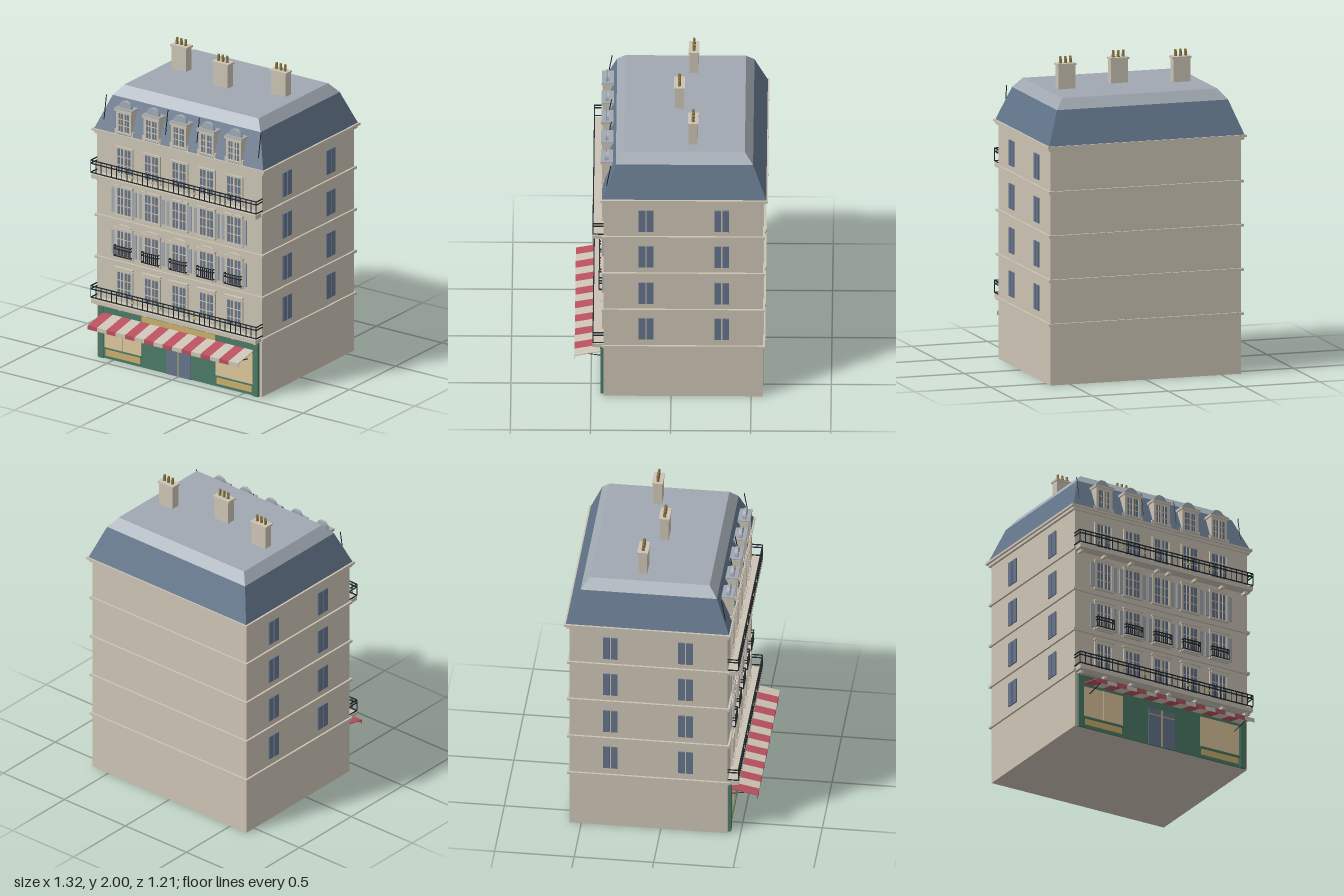
import * as THREE from 'three';

const mat = (name, color) => {
  const m = new THREE.MeshStandardMaterial({ color });
  m.name = name;
  return m;
};

export function createModel() {
  const model = new THREE.Group();
  model.name = 'townhouse';
  const stone = mat('stone', 0xcbc3b4), slate = mat('slate', 0x62758a), zinc = mat('zinc', 0xa0a8b1);
  const glass = mat('glass', 0x64748a), green = mat('shopGreen', 0x4b7a66), red = mat('awningRed', 0xb9505f);
  const gold = mat('gold', 0xc9af6c), glow = mat('shopWindow', 0xdcc79b), iron = mat('iron', 0x22282c);
  const brass = mat('brass', 0x8f7a45);

  const group = (name, parent = model) => {
    const g = new THREE.Group();
    g.name = name;
    parent.add(g);
    return g;
  };
  const add = (parent, name, geometry, material) => {
    const m = new THREE.Mesh(geometry, material);
    m.name = name;
    parent.add(m);
    return m;
  };
  // box given by its limits on each axis
  const box = (parent, name, material, x0, x1, y0, y1, z0, z1) => {
    const m = add(parent, name, new THREE.BoxGeometry(x1 - x0, y1 - y0, z1 - z0), material);
    m.position.set((x0 + x1) / 2, (y0 + y1) / 2, (z0 + z1) / 2);
    return m;
  };
  // four-sided tapered block; a and b are [x half-width, z back, z front] at bottom and top
  const frustum = (name, material, y0, y1, a, b) => {
    const g = new THREE.BoxGeometry(2, 2, 2), p = g.attributes.position;
    for (let i = 0; i < p.count; i++) {
      const top = p.getY(i) > 0, s = top ? b : a;
      p.setXYZ(i, p.getX(i) * s[0], top ? y1 : y0, p.getZ(i) > 0 ? s[2] : s[1]);
    }
    g.computeVertexNormals();
    return add(model, name, g, material);
  };
  // flat plate with a curved top edge, used for pediments
  const arch = (parent, name, material, w, y, rise, z, depth) => {
    const s = new THREE.Shape();
    s.moveTo(w, 0);
    for (let i = 1; i <= 12; i++) s.lineTo(w * Math.cos(i * Math.PI / 12), rise * Math.sin(i * Math.PI / 12));
    const m = add(parent, name, new THREE.ExtrudeGeometry(s, { depth, bevelEnabled: false }), material);
    m.position.set(0, y, z);
    return m;
  };

  // walls, string courses, cornice
  const F = 0.42, B = -0.575, W = 0.63;
  box(model, 'walls', stone, -W, W, 0, 1.5, B, F);
  for (const y of [0.375, 0.655, 0.935, 1.215]) {
    box(model, 'stringCourse', stone, -0.643, 0.643, y, y + 0.016, B - 0.013, F + 0.013);
  }
  box(model, 'lowerCornice', stone, -0.645, 0.645, 1.487, 1.505, B - 0.015, F + 0.01);
  box(model, 'upperCornice', stone, -0.658, 0.658, 1.505, 1.52, B - 0.03, F + 0.02);

  // mansard roof
  frustum('slateRoof', slate, 1.52, 1.733, [0.645, -0.595, 0.43], [0.565, -0.512, 0.345]);
  frustum('zincRoof', zinc, 1.733, 1.797, [0.565, -0.512, 0.345], [0.513, -0.46, 0.293]);

  // chimneys with pots
  for (const [x, z] of [[-0.38, -0.137], [0, -0.048], [0.38, -0.137]]) {
    const c = group('chimney');
    c.position.set(x, 0, z);
    box(c, 'chimneyStack', stone, -0.056, 0.056, 1.79, 1.945, -0.028, 0.028);
    box(c, 'chimneyCap', stone, -0.063, 0.063, 1.945, 1.958, -0.034, 0.034);
    for (const px of [-0.033, 0, 0.033]) {
      add(c, 'chimneyPot', new THREE.CylinderGeometry(0.008, 0.01, 0.043, 10), brass).position.set(px, 1.979, 0);
    }
  }

  // casement: two leaves of glass with glazing bars; z is the glass face
  const casement = (g, w, y0, y1, z, rows) => {
    box(g, 'windowGlass', glass, -w, w, y0, y1, z - 0.006, z);
    box(g, 'windowMeetingRail', stone, -0.006, 0.006, y0, y1, z, z + 0.005);
    for (const s of [-1, 1]) {
      box(g, 'glazingBar', stone, s * w / 2 - 0.002, s * w / 2 + 0.002, y0, y1, z, z + 0.003);
      box(g, 'windowStile', stone, s * w - 0.003, s * w + 0.003, y0, y1, z - 0.004, z + 0.004);
    }
    for (let i = 1; i < rows; i++) {
      const y = y0 + (y1 - y0) * i / rows;
      box(g, 'glazingBar', stone, -w, w, y - 0.0025, y + 0.0025, z, z + 0.003);
    }
  };
  const surround = (g, w, t, y0, y1, z0, z1) => {
    for (const s of [-1, 1]) {
      const x = s * (w + t / 2);
      box(g, 'windowJamb', stone, x - t / 2, x + t / 2, y0, y1, z0, z1);
    }
    box(g, 'windowHead', stone, -w - t, w + t, y1, y1 + t, z0, z1);
    box(g, 'windowSill', stone, -w - t - 0.004, w + t + 0.004, y0 - 0.012, y0, z0, z1 + 0.004);
  };
  // iron railing: front run plus two returns to the wall
  const railing = (w, y0, y1, z, count, parent) => {
    const g = group('railing', parent), r = 0.003;
    for (const y of [y0, y1 - 0.02, y1]) {
      box(g, 'rail', iron, -w, w, y - r, y + r, z - r, z + r);
      for (const s of [-1, 1]) box(g, 'sideRail', iron, s * w - r, s * w + r, y - r, y + r, F, z);
    }
    for (let i = 0; i <= count; i++) {
      const x = -w + 2 * w * i / count;
      box(g, 'baluster', iron, x - 0.002, x + 0.002, y0, y1, z - 0.002, z + 0.002);
    }
    return g;
  };

  // front windows, floor by floor
  const bays = [-0.42, -0.21, 0, 0.21, 0.42];
  const floors = [[0.43, 0.6], [0.705, 0.875], [0.985, 1.16], [1.26, 1.425]];
  floors.forEach(([y0, y1], floor) => {
    for (const x of bays) {
      const g = group('frontWindow');
      g.position.x = x;
      casement(g, 0.053, y0, y1, F + 0.005, 3);
      surround(g, 0.055, 0.013, y0, y1, F, F + 0.012);
      if (floor === 0) {
        box(g, 'windowHood', stone, -0.072, 0.072, 0.621, 0.632, F, F + 0.02);
        box(g, 'windowFrieze', stone, -0.055, 0.055, 0.61, 0.621, F, F + 0.013);
      }
      if (floor === 1) {
        box(g, 'windowHood', stone, -0.072, 0.072, 0.888, 0.898, F, F + 0.02);
        arch(g, 'curvedPediment', stone, 0.058, 0.898, 0.02, F, 0.016);
        railing(0.062, 0.712, 0.778, 0.45, 8, g);
        box(g, 'balconetSlab', stone, -0.064, 0.064, 0.698, 0.708, F, 0.452);
      }
      if (floor === 1 || floor === 2) {
        for (const s of [-1, 1]) {
          box(g, 'shutter', zinc, s * 0.082 - 0.013, s * 0.082 + 0.013, y0 + 0.005, y1 - 0.005, F, F + 0.009);
        }
      }
      if (floor === 2) box(g, 'windowHood', stone, -0.07, 0.07, 1.17, 1.178, F, F + 0.018);
    }
    // side windows
    for (const s of [-1, 1]) for (const z of [0.156, -0.317]) for (const d of [-0.025, 0.025]) {
      box(model, 'sideWindow', glass, s * 0.6335 - 0.0045, s * 0.6335 + 0.0045, y0 + 0.008, y0 + 0.168, z + d - 0.021, z + d + 0.021);
    }
  });

  // long balconies
  for (const [y, railBottom, railTop] of [[0.385, 0.41, 0.486], [1.22, 1.245, 1.325]]) {
    const b = group('longBalcony');
    box(b, 'balconySlab', stone, -W, W, y - 0.012, y + 0.014, F, 0.49);
    railing(0.632, railBottom, railTop, 0.487, 32, b);
    for (const s of [-1, 1]) {
      for (const x of [0.04, 0.235, 0.43, 0.6]) {
        box(b, 'balconyBracket', stone, s * x - 0.009, s * x + 0.009, y - 0.03, y - 0.01, F, 0.462);
      }
      for (const x of [0.16, 0.31]) {
        box(b, 'railMedallion', gold, s * x - 0.008, s * x + 0.008, y + 0.05, y + 0.066, 0.486, 0.491);
      }
    }
  }

  // dormers
  for (const x of bays) {
    const d = group('dormer');
    d.position.x = x;
    box(d, 'dormerBody', stone, -0.058, 0.058, 1.52, 1.68, 0.34, 0.422);
    surround(d, 0.043, 0.015, 1.54, 1.662, 0.415, 0.432);
    casement(d, 0.043, 1.54, 1.662, 0.427, 3);
    for (const s of [-1, 1]) box(d, 'dormerFoot', stone, s * 0.062 - 0.01, s * 0.062 + 0.01, 1.52, 1.55, 0.39, 0.43);
    box(d, 'dormerCornice', stone, -0.067, 0.067, 1.677, 1.69, 0.363, 0.44);
    box(d, 'dormerRoof', zinc, -0.067, 0.067, 1.69, 1.695, 0.363, 0.44);
    arch(d, 'dormerPediment', zinc, 0.044, 1.695, 0.046, 0.393, 0.022);
    const ring = add(d, 'dormerArch', new THREE.TorusGeometry(0.044, 0.005, 6, 16, Math.PI), zinc);
    ring.position.set(0, 1.695, 0.41);
  }

  // leaning iron rods on the front slope
  for (const x of [-0.59, -0.12, 0.12, 0.59]) {
    const rod = add(model, 'roofRod', new THREE.CylinderGeometry(0.003, 0.003, 0.16, 6), iron);
    rod.position.set(x, 1.66, 0.39);
    rod.rotation.x = -0.17;
  }

  // shopfront
  const shop = group('shopfront');
  box(shop, 'shopPanel', green, -0.61, 0.61, 0, 0.35, F, 0.43);
  box(shop, 'shopCornice', green, -0.612, 0.612, 0.347, 0.36, F, 0.442);
  box(shop, 'shopTrim', gold, -0.6, 0.6, 0.35, 0.354, 0.438, 0.444);
  box(shop, 'signBoard', gold, -0.28, 0.28, 0.306, 0.346, 0.43, 0.436);
  box(shop, 'doors', glass, -0.095, 0.095, 0, 0.25, 0.43, 0.435);
  box(shop, 'doorSplit', gold, -0.003, 0.003, 0, 0.25, 0.435, 0.438);
  box(shop, 'doorTransom', gold, -0.092, 0.092, 0.205, 0.211, 0.435, 0.438);
  for (const s of [-1, 1]) {
    const c = s * 0.425;
    box(shop, 'shopPilaster', green, s * 0.59 - 0.02, s * 0.59 + 0.02, 0, 0.347, 0.42, 0.439);
    box(shop, 'displayWindow', glow, c - 0.14, c + 0.14, 0.075, 0.28, 0.43, 0.434);
    box(shop, 'displayMullion', stone, c - 0.002, c + 0.002, 0.075, 0.28, 0.434, 0.437);
    box(shop, 'displaySill', green, c - 0.145, c + 0.145, 0.065, 0.075, 0.43, 0.44);
    box(shop, 'lowerPanel', gold, c - 0.133, c + 0.133, 0.02, 0.06, 0.43, 0.435);
  }

  // striped awning with valance and folding arms
  const awning = group('awning');
  const slope = Math.hypot(0.17, 0.035), step = 1.15 / 16;
  for (let i = 0; i < 16; i++) {
    const x = -0.575 + step * (i + 0.5), m = i % 2 ? stone : red;
    const cloth = add(awning, 'awningStripe', new THREE.BoxGeometry(step, 0.005, slope), m);
    cloth.position.set(x, 0.284, 0.517);
    cloth.rotation.x = Math.atan2(0.035, 0.17);
    box(awning, 'valanceStripe', m, x - step / 2, x + step / 2, 0.243, 0.268, 0.599, 0.603);
  }
  for (const x of [-0.53, 0.53]) {
    const arm = add(awning, 'awningArm', new THREE.CylinderGeometry(0.003, 0.003, 0.17, 6), iron);
    arm.position.set(x, 0.251, 0.516);
    arm.rotation.x = Math.PI / 2 - 0.16;
  }
  return model;
}
